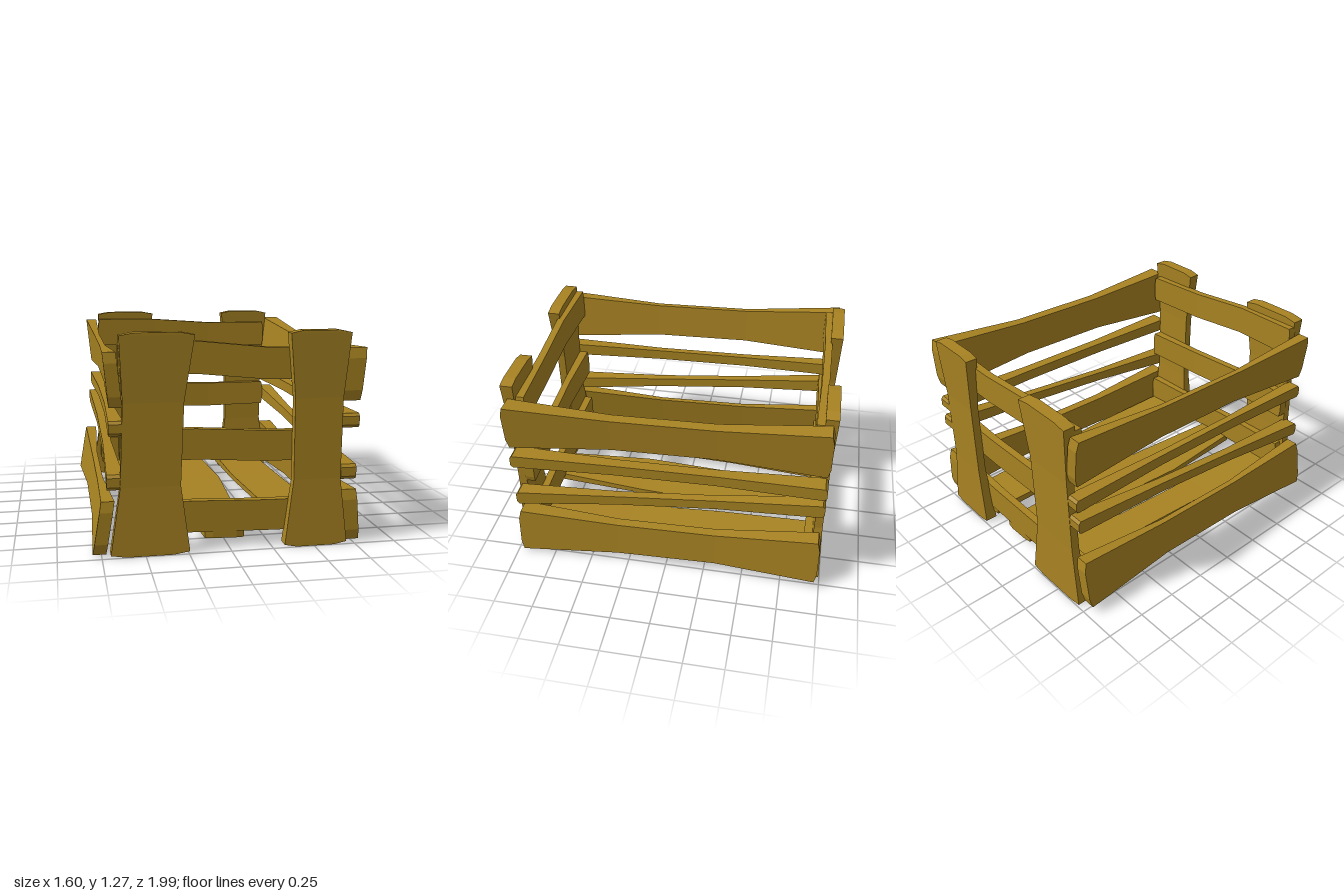
import * as THREE from 'three';

const wood = new THREE.MeshStandardMaterial({ color: 0xa88322 });
wood.name = 'wood';

// Plank from cross-sections. axes = [length, width, thickness] axis indices.
// Each section is [length, widthLow, widthHigh, thickLow, thickHigh].
// lean shifts the thickness along the width; bulge pushes the ends out.
function plank(name, axes, sections, { lean = 0, bulge = 0.015 } = {}) {
  const cap = (s, d) => {
    const inset = (s[2] - s[1]) * 0.2;
    return [s[0] + d, s[1] + inset, s[2] - inset, s[3], s[4]];
  };
  const first = sections[0], last = sections[sections.length - 1];
  const dir = Math.sign(last[0] - first[0]);
  const rows = [cap(first, -dir * bulge), ...sections, cap(last, dir * bulge)];
  const rings = rows.map(([l, w0, w1, t0, t1]) => {
    const mid = (w0 + w1) / 2;
    return [[w0, t0], [w1, t0], [w1, t1], [w0, t1]].map(([w, t]) => {
      const p = [0, 0, 0];
      p[axes[0]] = l;
      p[axes[1]] = w;
      p[axes[2]] = t + lean * (w - mid);
      return p;
    });
  });
  const even = (axes[1] - axes[0] + 3) % 3 === 1;
  const flip = even !== dir > 0;
  const pos = [];
  const quad = (a, b, c, d) => {
    const q = flip ? [a, c, b, a, d, c] : [a, b, c, a, c, d];
    q.forEach((p) => pos.push(...p));
  };
  for (let i = 0; i + 1 < rings.length; i++) {
    for (let k = 0; k < 4; k++) {
      const n = (k + 1) % 4;
      quad(rings[i][k], rings[i][n], rings[i + 1][n], rings[i + 1][k]);
    }
  }
  const a = rings[0], z = rings[rings.length - 1];
  quad(a[3], a[2], a[1], a[0]);
  quad(z[0], z[1], z[2], z[3]);
  const geo = new THREE.BufferGeometry();
  geo.setAttribute('position', new THREE.Float32BufferAttribute(pos, 3));
  geo.computeVertexNormals();
  const mesh = new THREE.Mesh(geo, wood);
  mesh.name = name;
  return mesh;
}

const X = 0, Y = 1, Z = 2;

export function createModel() {
  const crate = new THREE.Group();
  crate.name = 'crate';

  // Corner posts: wide at the ends, narrow at the waist
  const postY = [0.02, 0.41, 0.89, 1.265];
  const postX = {
    right: [[-0.7, -0.245], [-0.64, -0.295], [-0.62, -0.275], [-0.635, -0.215]],
    left: [[0.32, 0.7], [0.37, 0.655], [0.37, 0.66], [0.335, 0.695]],
  };
  for (const [side, widths] of Object.entries(postX)) {
    for (const s of [1, -1]) {
      const sections = postY.map((y, i) => {
        const end = i === 0 || i === 3;
        const z = end ? [0.917, 0.995] : [0.93, 0.982];
        return [y, ...widths[i], ...(s > 0 ? z : [-z[1], -z[0]])];
      });
      crate.add(plank(`${s > 0 ? 'front' : 'back'}Post_${side}`, [Y, X, Z], sections));
    }
  }

  // Side boards: heights along z, then [inner, outer] x at the ends for each side
  const sideZ = [0.96, 0.32, -0.32, -0.965];
  const sideBoards = [
    { name: 'bottomSideBoard', y: [[0.02, 0.33], [0.07, 0.3], [0.09, 0.315], [0.06, 0.375]],
      left: [0.672, 0.775], right: [0.698, 0.775], lean: [-0.08, -0.17] },
    { name: 'lowerSlat', y: [[0.395, 0.485], [0.47, 0.535], [0.535, 0.6], [0.585, 0.675]],
      left: [0.66, 0.755], right: [0.62, 0.715], lean: [0, 0] },
    { name: 'upperSlat', y: [[0.705, 0.79], [0.72, 0.79], [0.73, 0.8], [0.73, 0.815]],
      left: [0.655, 0.765], right: [0.615, 0.7], lean: [0, 0] },
    { name: 'topSideBoard', y: [[0.865, 1.175], [0.925, 1.15], [0.94, 1.165], [0.91, 1.225]],
      left: [0.675, 0.785], right: [0.635, 0.71], lean: [0.1, 0.1] },
  ];
  for (const b of sideBoards) {
    ['left', 'right'].forEach((side, k) => {
      const s = k ? -1 : 1;
      const sections = sideZ.map((z, i) => {
        const thin = i === 1 || i === 2 ? 0.02 : 0;
        const x = [b[side][0] + thin, b[side][1] - thin];
        return [z, ...b.y[i], ...(k ? [-x[1], -x[0]] : x)];
      });
      crate.add(plank(`${b.name}_${side}`, [Z, Y, X], sections, { lean: s * b.lean[k] }));
    });
  }

  // End rails inside the posts
  const railX = [-0.63, -0.2, 0.22, 0.655];
  const rails = [
    ['bottomRail', [[0.11, 0.305], [0.11, 0.298], [0.097, 0.283], [0.09, 0.28]]],
    ['middleRail', [[0.54, 0.73], [0.545, 0.725], [0.518, 0.7], [0.515, 0.69]]],
    ['topRail', [[1.035, 1.23], [1.04, 1.225], [0.998, 1.182], [0.99, 1.17]]],
  ];
  for (const [name, heights] of rails) {
    for (const s of [1, -1]) {
      const sections = railX.map((x, i) => {
        const end = i === 0 || i === 3;
        const z = end ? [0.872, 0.932] : [0.883, 0.93];
        const lift = s < 0 ? [0, 0, 0.013, 0.025][i] : 0;
        return [x, heights[i][0] + lift, heights[i][1] + lift, ...(s > 0 ? z : [-z[1], -z[0]])];
      });
      crate.add(plank(`${s > 0 ? 'front' : 'back'}_${name}`, [X, Y, Z], sections, { bulge: 0.008 }));
    }
  }

  // Floor slats
  const floorZ = [-0.92, -0.3, 0.3, 0.915];
  const floor = [
    [[-0.515, -0.25], [-0.51, -0.3], [-0.54, -0.33], [-0.585, -0.315]],
    [[-0.09, 0.15], [-0.15, 0.19], [-0.19, 0.15], [-0.145, 0.09]],
    [[0.285, 0.6], [0.29, 0.635], [0.325, 0.66], [0.36, 0.65]],
  ];
  floor.forEach((widths, n) => {
    const sections = floorZ.map((z, i) => {
      const thin = i === 1 || i === 2 ? 0.008 : 0;
      return [z, ...widths[i], 0.062 + thin, 0.112 - thin];
    });
    crate.add(plank(`floorSlat${n + 1}`, [Z, X, Y], sections, { lean: -0.03, bulge: 0.008 }));
  });

  return crate;
}
